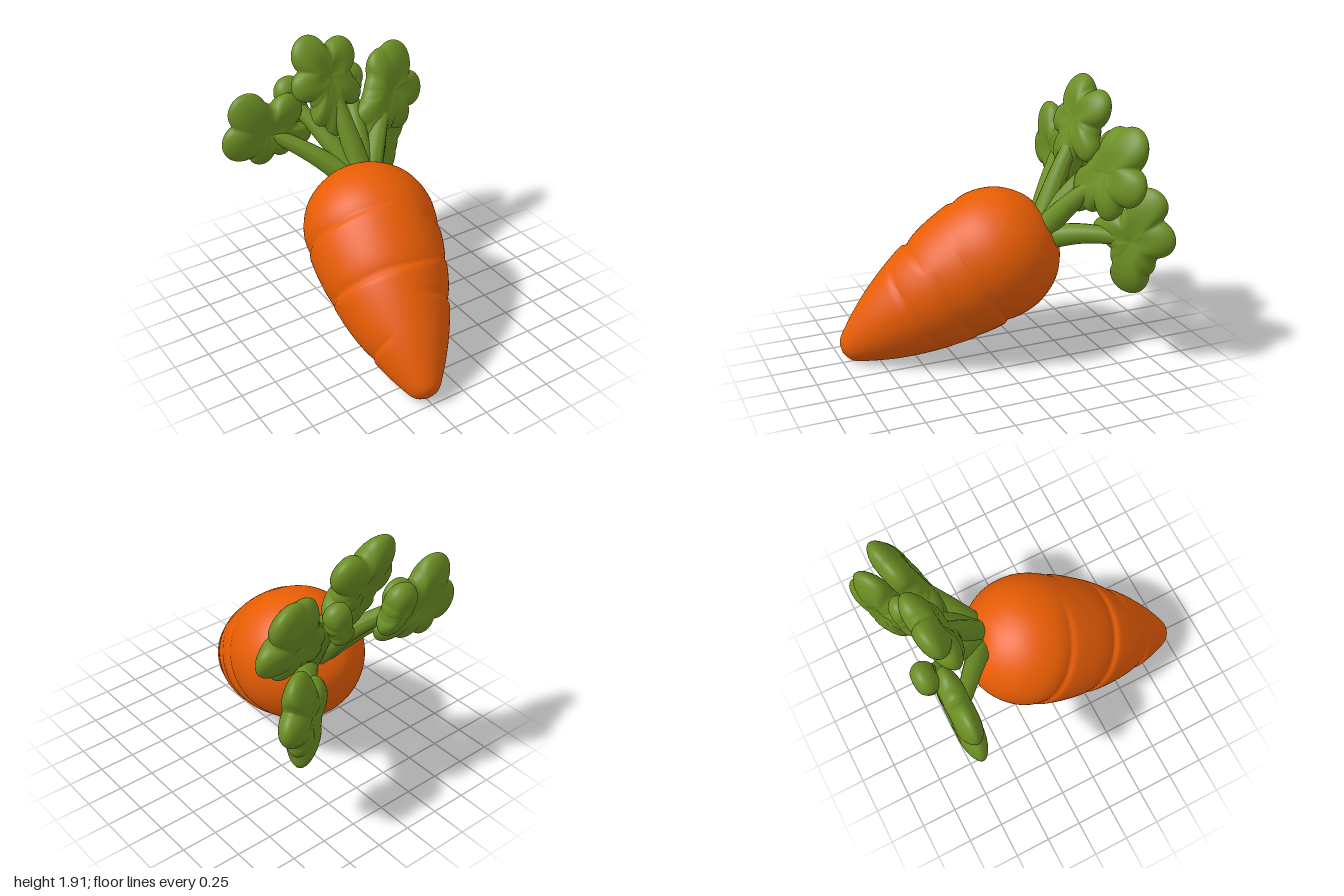
import * as THREE from 'three';

const orange = new THREE.MeshStandardMaterial({ color: 0xe85d04 });
orange.name = 'carrot orange';
const green = new THREE.MeshStandardMaterial({ color: 0x6b8e23 });
green.name = 'leaf green';

// Smooth closed surface from rings; point(i, j) gives a Vector3 on ring i at step j
function loft(rows, cols, point) {
  const pos = [], index = [];
  for (let i = 0; i <= rows; i++)
    for (let j = 0; j < cols; j++) pos.push(...point(i, j).toArray());
  for (let i = 0; i < rows; i++)
    for (let j = 0; j < cols; j++) {
      const a = i * cols + j, b = i * cols + (j + 1) % cols;
      index.push(a, a + cols, b, b, a + cols, b + cols);
    }
  const g = new THREE.BufferGeometry();
  g.setAttribute('position', new THREE.Float32BufferAttribute(pos, 3));
  g.setIndex(index);
  g.computeVertexNormals();
  return g;
}

// Root: a tapered profile along a slanted axis, cut by partial ring creases
function makeRoot() {
  const tip = new THREE.Vector3(-0.28, 0.06, 0.99);
  const d = new THREE.Vector3(0.18, 0.53, -0.83).normalize();
  const u = new THREE.Vector3(1, 0, 0).addScaledVector(d, -d.x).normalize();
  const v = u.clone().cross(d);
  // [distance along axis, radius]
  const profile = new THREE.CatmullRomCurve3([
    [0, 0], [0.03, 0.08], [0.12, 0.145], [0.4, 0.285], [0.8, 0.41], [1.2, 0.461],
    [1.35, 0.45], [1.5, 0.39], [1.6, 0.3], [1.67, 0.18], [1.69, 0],
  ].map(([s, r]) => new THREE.Vector3(s, r, 0)));
  // [distance along axis, middle angle, half sweep, depth]
  const creases = [
    [1.19, 165, 80, 0.022], [1.08, -30, 95, 0.022], [0.78, 135, 85, 0.028], [0.83, -10, 55, 0.02],
    [0.58, 20, 70, 0.022], [0.36, 190, 60, 0.02], [0.68, 255, 55, 0.02],
  ];
  const rows = 130, cols = 72;
  const pts = profile.getSpacedPoints(rows);
  return loft(rows, cols, (i, j) => {
    const angle = j / cols * Math.PI * 2;
    const s = pts[i].x;
    let r = pts[i].y;
    for (const [at, mid, sweep, depth] of creases) {
      const off = (((angle * 180 / Math.PI - mid) % 360 + 540) % 360 - 180) / sweep;
      if (Math.abs(off) >= 1) continue;
      const along = s - at - 0.03 * off * off;
      const fade = Math.pow(1 - off * off, 0.7);
      r -= depth * fade * Math.exp(-Math.abs(along) / (along > 0 ? 0.06 : 0.015));
    }
    r = Math.max(r, 0);
    return tip.clone().addScaledVector(d, s)
      .addScaledVector(u, r * Math.cos(angle)).addScaledVector(v, r * Math.sin(angle));
  });
}

// Blade: round lobes joined to a hub, on a tilted plane, thick with blunt rounded edges
function makeBlade(hub, hubRadius, tiltX, tiltY, thick, lobes) {
  const circles = [];
  for (const [x, y, r] of lobes) {
    const dx = x - hub.x, dy = y - hub.y;
    circles.push([dx, dy, r], [dx / 2, dy / 2, 0.46 * (r + hubRadius)]);
  }
  const reach = (angle) => {
    const c = Math.cos(angle), s = Math.sin(angle);
    let far = hubRadius;
    for (const [x, y, r] of circles) {
      const side = x * s - y * c;
      if (Math.abs(side) < r) far = Math.max(far, x * c + y * s + Math.sqrt(r * r - side * side));
    }
    return far;
  };
  const normal = new THREE.Vector3(-tiltX, -tiltY, 1).normalize();
  const rows = 24, cols = 108;
  return loft(rows, cols, (i, j) => {
    const angle = j / cols * Math.PI * 2;
    const phi = Math.PI * (0.5 - i / rows);
    const scale = Math.pow(Math.max(Math.cos(phi), 0), 0.45);
    const x = Math.cos(angle) * reach(angle) * scale, y = Math.sin(angle) * reach(angle) * scale;
    const t = thick * Math.sin(phi) * (0.85 + 0.25 * Math.sin(Math.PI * scale));
    return new THREE.Vector3(x, y, tiltX * x + tiltY * y).add(hub).addScaledVector(normal, t);
  });
}

// Stem: a tube from the crown that narrows towards the blade
function makeStem(hub) {
  const crown = new THREE.Vector3(0.08, 0.86, -0.3);
  const bend = crown.clone().lerp(hub, 0.5);
  bend.y += 0.03;
  const path = new THREE.CatmullRomCurve3([crown.clone().lerp(hub, 0.13), bend, hub]);
  const steps = 16, sides = 14;
  const g = new THREE.TubeGeometry(path, steps, 1, sides);
  const p = g.attributes.position, q = new THREE.Vector3();
  for (let k = 0; k < p.count; k++) {
    const t = Math.floor(k / (sides + 1)) / steps;
    const c = path.getPointAt(t);
    q.fromBufferAttribute(p, k).sub(c).multiplyScalar(0.085 - 0.04 * t).add(c);
    p.setXYZ(k, q.x, q.y, q.z);
  }
  g.computeVertexNormals();
  return g;
}

function makeLeaf(name, [x, y, z, hubRadius], [tiltX, tiltY], thick, lobes) {
  const hub = new THREE.Vector3(x, y, z);
  const group = new THREE.Group();
  group.name = name;
  const blade = new THREE.Mesh(makeBlade(hub, hubRadius, tiltX, tiltY, thick, lobes), green);
  blade.name = 'blade';
  const stem = new THREE.Mesh(makeStem(hub), green);
  stem.name = 'stem';
  group.add(blade, stem);
  return group;
}

export function createModel() {
  const model = new THREE.Group();
  model.name = 'carrot';
  const root = new THREE.Mesh(makeRoot(), orange);
  root.name = 'root';
  model.add(root);

  // Each leaf: hub and its radius, tilt, thickness, lobes as [x, y, radius]
  model.add(makeLeaf('rightLeaf', [-0.46, 1.29, -0.73, 0.18], [0.02, 0], 0.078,
    [[-0.6, 1.47, 0.14], [-0.66, 1.26, 0.14], [-0.3, 1.42, 0.115], [-0.52, 1.14, 0.09],
      [-0.36, 1.17, 0.09], [-0.2, 1.2, 0.08]]));
  model.add(makeLeaf('topLeaf', [-0.01, 1.62, -0.68, 0.18], [-0.1, -0.32], 0.085,
    [[-0.12, 1.78, 0.13], [0.12, 1.72, 0.125], [-0.19, 1.59, 0.105], [0.16, 1.46, 0.085],
      [-0.1, 1.37, 0.075], [0, 1.28, 0.08]]));
  model.add(makeLeaf('leftLeaf', [0.48, 1.38, -0.66, 0.2], [-0.22, -0.28], 0.085,
    [[0.57, 1.55, 0.15], [0.46, 1.56, 0.12], [0.67, 1.33, 0.125], [0.54, 1.18, 0.095],
      [0.28, 1.27, 0.11], [0.38, 1.18, 0.08], [0.26, 1.15, 0.08]]));
  model.add(makeLeaf('lowerLeaf', [0.54, 0.92, -0.82, 0.18], [-0.58, 0], 0.085,
    [[0.66, 0.96, 0.135], [0.51, 0.65, 0.12], [0.62, 1.18, 0.115], [0.4, 0.98, 0.11],
      [0.58, 0.76, 0.09], [0.34, 0.95, 0.08]]));
  model.add(makeLeaf('rearRightLeaf', [-0.21, 1.42, -0.83, 0.11], [0, -0.2], 0.072,
    [[-0.22, 1.48, 0.11], [-0.16, 1.3, 0.08]]));
  model.add(makeLeaf('rearLeftLeaf', [0.23, 1.45, -0.77, 0.09], [0, -0.2], 0.068,
    [[0.25, 1.51, 0.09], [0.18, 1.34, 0.08]]));
  return model;
}
